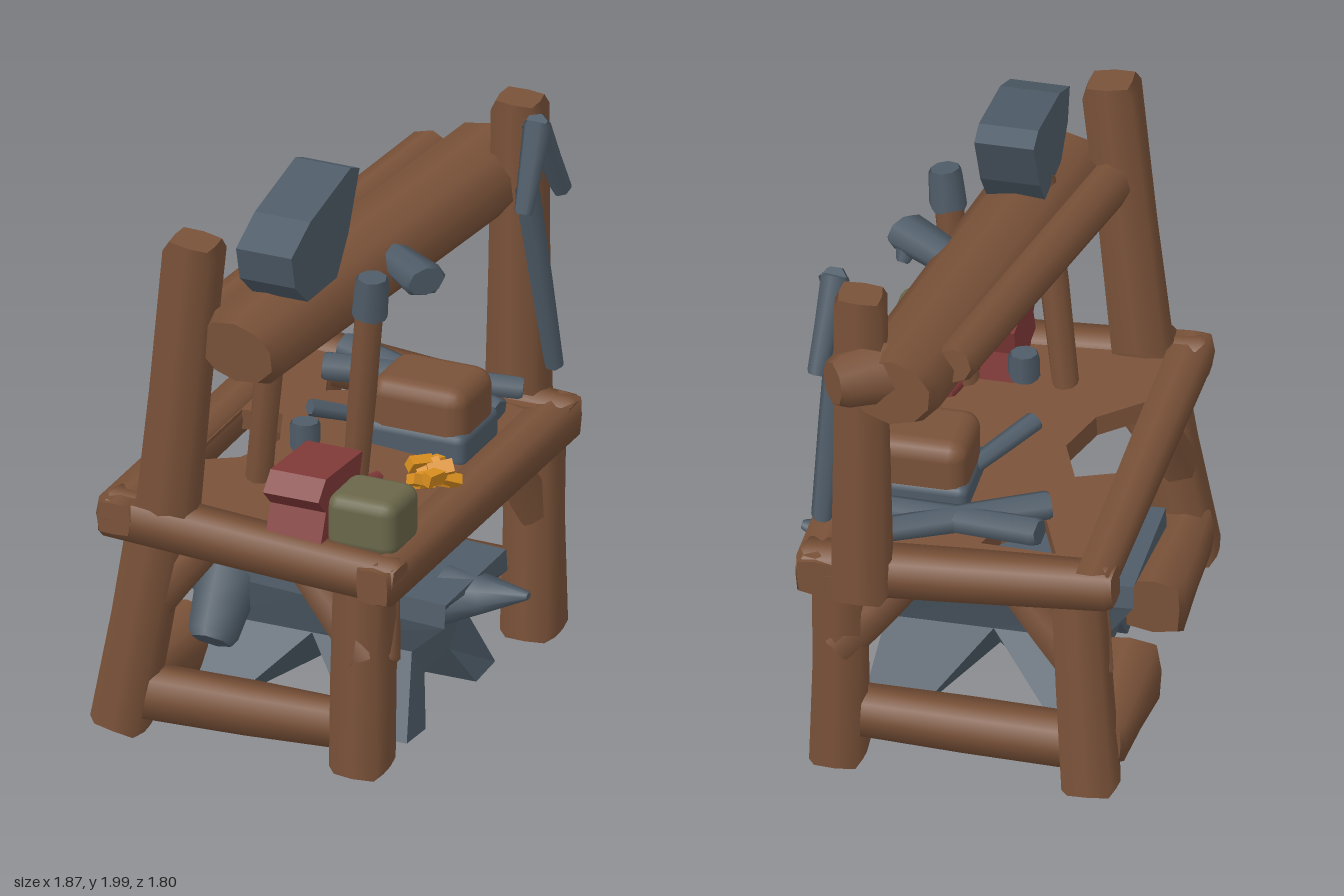
import * as THREE from 'three';
import { RoundedBoxGeometry } from 'three/addons/geometries/RoundedBoxGeometry.js';

const TURN = 0.672; // the bench stands turned about the vertical axis
const C = Math.cos(TURN), S = Math.sin(TURN);
const V = (x, y, z) => new THREE.Vector3(x, y, z);
// bench coordinates (u along, v towards the working side) to model coordinates
const B = (u, y, v) => V(u * C + v * S, y, -u * S + v * C);
const outline = pts => new THREE.Shape(pts.map(p => new THREE.Vector2(...p)));

const mat = (name, color) => {
  const m = new THREE.MeshStandardMaterial({ color });
  m.name = name;
  return m;
};

export function createModel() {
  const wood = mat('wood', 0x7a5239);
  const iron = mat('iron', 0x4f5c68);
  const red = mat('red', 0x813a38);
  const olive = mat('olive', 0x6a674a);
  const orange = mat('orange', 0xd98e1f);

  const model = new THREE.Group();
  const add = (name, geo, material, parent = model) => {
    const m = new THREE.Mesh(geo, material);
    m.name = name;
    parent.add(m);
    return m;
  };

  // A slightly uneven bar from a to b with worn ends; wide stretches it
  // sideways, square pushes its corners out
  const log = (name, material, a, b, ra, rb = ra, wide = 1, sides = 8, square = 0) => {
    const dir = b.clone().sub(a), len = dir.length();
    dir.normalize();
    const geo = new THREE.CylinderGeometry(rb, ra, len, sides, 4);
    const p = geo.attributes.position;
    const radius = y => ra + (rb - ra) * (y / len + 0.5);
    const shoulder = len / 2 - Math.min(len * 0.2, 0.35 * Math.min(ra, rb));
    for (let i = 0; i < p.count; i++) {
      const x = p.getX(i), z = p.getZ(i), y0 = p.getY(i), part = Math.abs(y0) / len;
      const y = part > 0.1 && part < 0.4 ? Math.sign(y0) * shoulder : y0;
      const angle = Math.atan2(z, x);
      const k = radius(y) / radius(y0) * (part > 0.4 ? 0.84 : 1)
        * (1 + 0.05 * Math.sin(y * 9 + 2 * angle + a.x * 5))
        * (1 + square * Math.sin(2 * angle) ** 2);
      p.setXYZ(i, x * k * wide, y, z * k);
    }
    const side = Math.abs(dir.y) > 0.9 ? B(0, 0, 1) : V(0, 1, 0);
    const x = side.cross(dir).normalize();
    geo.applyMatrix4(new THREE.Matrix4().makeBasis(x, dir, x.clone().cross(dir)));
    const mid = a.clone().add(b).multiplyScalar(0.5);
    geo.translate(mid.x, mid.y, mid.z);
    return add(name, geo, material);
  };
  // Roughly squared timber
  const timber = (name, a, b, ra, rb = ra, wide = 1) => log(name, wood, a, b, ra, rb, wide, 8, 0.26);

  // Extruded outline in the u-y plane, centred on v
  const plate = (name, material, pts, depth, v) => {
    const geo = new THREE.ExtrudeGeometry(outline(pts), { depth, bevelEnabled: false });
    geo.translate(0, 0, v - depth / 2);
    return add(name, geo.rotateY(TURN), material);
  };

  // Block with rounded edges, standing square to the bench
  const block = (name, material, size, r, at) => {
    const geo = new RoundedBoxGeometry(...size, 2, r).rotateY(TURN);
    return add(name, geo.translate(at.x, at.y, at.z), material);
  };

  // Legs, the left and right ones carrying on as posts
  timber('leftLeg', V(-0.82, 0.07, 0.05), V(-0.72, 0.92, 0.17), 0.095, 0.095, 0.9);
  timber('leftPost', V(-0.72, 0.78, 0.17), V(-0.67, 1.89, 0.29), 0.1, 0.092, 0.85);
  timber('rightLeg', V(0.76, 0.01, -0.07), V(0.77, 0.85, -0.09), 0.092, 0.09, 0.95);
  timber('rightPost', V(0.77, 0.72, -0.2), V(0.77, 1.9, -0.19), 0.098, 0.088, 0.88);
  timber('frontLeg', V(-0.27, 0.06, 0.71), V(-0.26, 0.8, 0.71), 0.096, 0.09, 0.95);
  timber('backLeg', V(0.28, 0.06, -0.79), V(0.27, 0.87, -0.7), 0.095, 0.08, 0.95);

  // Overhead beam with a thinner split pole behind it
  log('beam', wood, V(-0.6, 1.53, 0.44), V(0.79, 1.61, -0.37), 0.13, 0.135, 1.3, 10);
  log('backPole', wood, B(-0.64, 1.53, -0.2), B(0.72, 1.66, 0.02), 0.085, 0.075);
  log('beamEnd', wood, V(0.72, 1.63, -0.28), V(0.92, 1.63, -0.23), 0.12, 0.09);

  // Tabletop with ragged openings
  const top = outline([[-0.72, -0.48], [0.72, -0.48], [0.72, 0.5], [-0.72, 0.5]]);
  for (const h of [
    [[-0.33, -0.39], [-0.22, -0.25], [-0.04, -0.19], [0.14, -0.26], [0.1, -0.39]],
    [[0.37, -0.21], [0.46, -0.08], [0.57, -0.04], [0.6, -0.3]],
  ]) top.holes.push(outline(h));
  const topGeo = new THREE.ExtrudeGeometry(top, { depth: 0.07, bevelEnabled: false });
  topGeo.rotateX(Math.PI / 2).rotateX(0.06).translate(0, 0.87, 0).rotateY(TURN);
  add('tabletop', topGeo, wood);

  // Table rim
  timber('frontRim', B(-0.77, 0.785, 0.475), B(0.76, 0.78, 0.475), 0.07, 0.075);
  timber('backRim', B(-0.76, 0.85, -0.46), B(0.75, 0.86, -0.45), 0.07, 0.062);
  for (const s of [-1, 1])
    timber('sideRim', B(s * 0.69, 0.85, -0.52), B(s * 0.69, 0.785, 0.54), 0.072);

  // Low rails and knee braces
  for (const s of [-1, 1]) {
    timber('sideRail', B(s * 0.66, 0.2, -0.46), B(s * 0.64, 0.21, 0.44), 0.08, 0.07);
    timber('backRail', B(s * 0.68, 0.21, -0.47), B(s * 0.17, 0.2, -0.45), 0.08, 0.115);
    for (const t of [-1, 1]) {
      log('sideBrace', wood, B(s * 0.66, 0.48, t * 0.42), B(s * 0.66, 0.8, t * 0.14), 0.09, 0.05, 1, 6);
      log('longBrace', wood, B(s * 0.63, 0.46, t * 0.43), B(s * 0.45, 0.78, t * 0.4), 0.08, 0.035, 1, 6);
    }
  }

  // Anvil: two waisted halves with splayed feet, back to back
  for (const s of [1, -1]) {
    const geo = new THREE.ExtrudeGeometry(outline([[-0.24, 0.5], [-0.25, 0.42], [-0.2, 0.29],
      [-0.35, 0.03], [-0.2, 0.02], [-0.1, 0.17], [0.1, 0.17], [0.2, 0.02], [0.35, 0.03],
      [0.2, 0.29], [0.25, 0.42], [0.24, 0.5]]), { depth: 1, bevelEnabled: false });
    const p = geo.attributes.position;
    const end = s > 0 ? [0.41, 0.36, 0.5] : [0.36, 0.36, 0.48];
    for (let i = 0; i < p.count; i++) {
      const y = p.getY(i), foot = y < 0.1;
      const v = p.getZ(i) > 0.5 ? end[foot ? 0 : y > 0.35 ? 2 : 1] : (foot ? 0.22 : 0);
      p.setZ(i, v);
      if (y > 0.35) p.setY(i, y + 0.025 - s * v * 0.05);
      else if (foot && s < 0) p.setY(i, y + 0.04);
    }
    geo.computeVertexNormals();
    add('anvilHalf', geo.rotateY(s > 0 ? TURN : TURN + Math.PI), iron);
    log('anvilShoulder', iron, B(s * 0.18, 0.46, -0.3), B(s * 0.34, 0.26, -0.3), 0.12, 0.08, 1, 6);
  }
  log('anvilHorn', iron, B(0, 0.42, 0.4), B(0, 0.47, 0.69), 0.1, 0.012, 1.7);

  // Axe leaning against the beam
  plate('axeHead', iron, [[-0.54, 1.66], [-0.31, 1.65], [-0.22, 1.77], [-0.13, 1.97], [-0.2, 2],
    [-0.52, 1.94], [-0.67, 1.87], [-0.64, 1.75]], 0.2, 0.04);
  log('axeHandle', wood, V(-0.36, 0.9, 0.14), V(-0.34, 1.68, 0.24), 0.048);

  // Hammer handle with an iron cap
  log('hammerHandle', wood, V(-0.12, 0.9, 0.36), V(-0.1, 1.58, 0.43), 0.045, 0.052);
  log('hammerCap', iron, V(-0.1, 1.55, 0.43), V(-0.1, 1.7, 0.45), 0.062, 0.057);

  // Iron peg on the beam
  log('peg', iron, V(0.13, 1.6, 0.14), V(0.14, 1.6, 0.37), 0.05, 0.06, 1.3);
  log('pegTip', iron, V(0.15, 1.6, 0.32), V(0.2, 1.53, 0.3), 0.05, 0.02, 1, 6);

  // Pick hung on the right post
  log('pickArm', iron, V(0.66, 1.6, 0.05), V(0.755, 1.88, -0.03), 0.035, 0.05, 1, 6);
  log('pickArm', iron, V(0.745, 1.88, -0.03), V(0.88, 1.58, -0.1), 0.05, 0.035, 1, 6);
  log('pickHandle', iron, V(0.7, 1.66, 0), V(0.83, 0.97, -0.06), 0.048, 0.036, 1, 6);

  // Pot, chest and wooden block on the table
  block('pot', olive, [0.23, 0.2, 0.25], 0.045, V(-0.19, 0.93, 0.63));

  plate('chest', red, [[-0.7, 0.87], [-0.38, 0.87], [-0.4, 0.97], [-0.37, 1.07], [-0.66, 1.09],
    [-0.72, 1.03], [-0.66, 0.97]], 0.2, 0.16);
  log('chestLatch', red, B(-0.42, 0.92, 0.2), B(-0.22, 0.91, 0.25), 0.035, 0.025, 1, 6);

  block('blockTop', wood, [0.28, 0.22, 0.35], 0.06, B(0.24, 0.985, 0.23));
  block('blockBase', iron, [0.295, 0.12, 0.365], 0.03, B(0.24, 0.885, 0.23));
  log('knob', iron, V(-0.2, 0.98, 0.16), V(-0.2, 1.08, 0.16), 0.052);

  // Crossed tongs and a loose bar
  log('tong', iron, B(0.45, 0.89, 0.38), B(0.58, 0.95, -0.24), 0.04, 0.05, 1.2, 6);
  log('tong', iron, B(0.64, 0.89, 0.38), B(0.41, 0.95, -0.24), 0.04, 0.05, 1.2, 6);
  log('bar', iron, V(-0.06, 1.0, -0.08), V(0.2, 0.91, -0.06), 0.03, 0.025, 1.3, 6);

  // Pile of bright nails
  const nails = new THREE.Group();
  nails.name = 'nails';
  nails.position.set(0.15, 0.91, 0.39);
  model.add(nails);
  for (let i = 0; i < 11; i++) {
    const a = i * 2.4, r = 0.02 + 0.004 * i;
    const n = add('nail', new THREE.BoxGeometry(0.085, 0.036, 0.045), orange, nails);
    n.position.set(Math.cos(a) * r, 0.016 * (i % 4) - 0.022, Math.sin(a) * r);
    n.rotation.set(0.3 * i, a * 1.3, 0.35 * ((i % 3) - 1));
  }

  return model;
}
